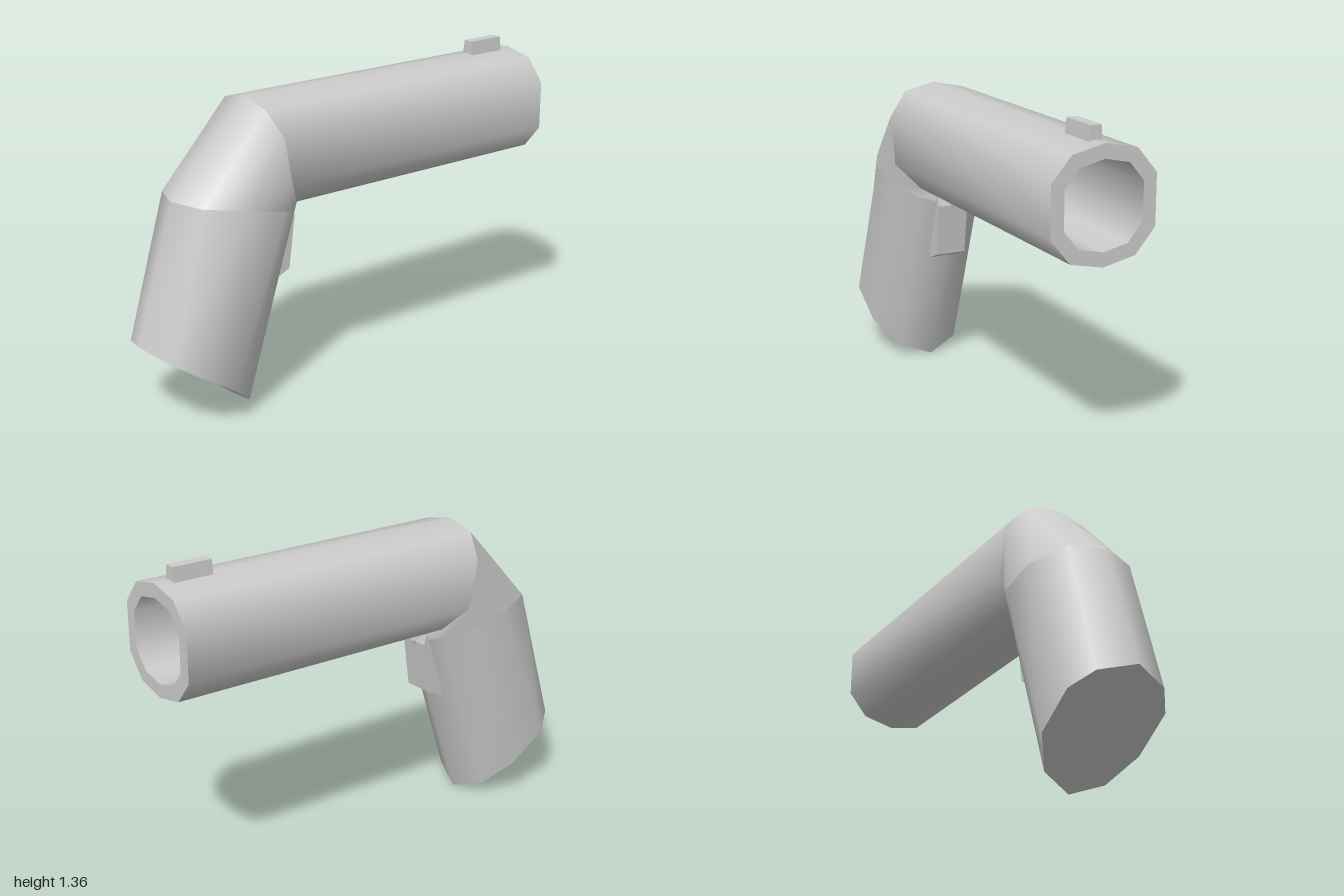
import * as THREE from 'three';

// Completes a ten-point ring from the six points of its +x half, top to bottom.
function ring(half) {
  const mirrored = half.slice(1, 5).reverse().map(([x, y, z]) => [-x, y, z]);
  return [...half, ...mirrored];
}

// Skins a smooth band between consecutive rings.
function loft(name, rings, material) {
  const n = rings[0].length, index = [];
  for (let r = 0; r < rings.length - 1; r++) {
    for (let i = 0; i < n; i++) {
      const a = r * n + i, b = r * n + (i + 1) % n;
      index.push(a, a + n, b, b, a + n, b + n);
    }
  }
  const geometry = new THREE.BufferGeometry();
  geometry.setAttribute('position', new THREE.Float32BufferAttribute(rings.flat(2), 3));
  geometry.setIndex(index);
  geometry.computeVertexNormals();
  const mesh = new THREE.Mesh(geometry, material);
  mesh.name = name;
  return mesh;
}

// Extrudes an outline and centres its thickness.
function slab(name, points, depth, material) {
  const shape = new THREE.Shape(points.map(([x, y]) => new THREE.Vector2(x, y)));
  const geometry = new THREE.ExtrudeGeometry(shape, { depth, bevelEnabled: false });
  geometry.translate(0, 0, -depth / 2);
  const mesh = new THREE.Mesh(geometry, material);
  mesh.name = name;
  return mesh;
}

export function createModel() {
  const model = new THREE.Group();
  model.name = 'pistol';
  const grey = new THREE.MeshStandardMaterial({ color: 0xcccccc });

  // Barrel section: ten sides with upright flanks
  const axisY = 1.07;
  const section = [[0, 0.235], [0.14, 0.205], [0.225, 0.104], [0.225, -0.104], [0.14, -0.205], [0, -0.235]];
  const barrelRing = (scale, z) => ring(section.map(([x, y]) => [x * scale, axisY + y * scale, z]));
  const bore = 0.75, boreEnd = 0.25;

  // Slanted rear end of the barrel, top of the grip and foot of the grip
  const rearZ = [0.465, 0.46, 0.43, 0.39, 0.31, 0.285];
  const rear = ring(section.map(([x, y], i) => [x, axisY + y, rearZ[i]]));
  const gripTop = ring([
    [0, 0.935, 0.825], [0.15, 0.93, 0.77], [0.225, 0.91, 0.6],
    [0.225, 0.87, 0.43], [0.14, 0.82, 0.325], [0, 0.78, 0.265],
  ]);
  const gripFoot = ring([
    [0, 0.36, 1], [0.155, 0.32, 0.945], [0.225, 0.265, 0.855],
    [0.225, 0.15, 0.68], [0.14, 0.05, 0.565], [0, 0, 0.52],
  ]);
  const footCentre = gripFoot.map(() => [0, 0.18, 0.76]);

  // Barrel with its hollow bore
  model.add(
    loft('boreEnd', [barrelRing(0, boreEnd), barrelRing(bore, boreEnd)], grey),
    loft('bore', [barrelRing(bore, boreEnd), barrelRing(bore, -1)], grey),
    loft('muzzle', [barrelRing(bore, -1), barrelRing(1, -1)], grey),
    loft('barrel', [barrelRing(1, -1), rear], grey),
  );

  // Elbow and grip
  model.add(
    loft('elbow', [rear, gripTop], grey),
    loft('grip', [gripTop, gripFoot], grey),
    loft('gripBase', [gripFoot, footCentre], grey),
  );

  // Trigger: side outline drawn in (-z, y), turned to lie across x
  const trigger = slab('trigger', [
    [-0.45, 0.6], [-0.37, 0.52], [-0.3, 0.55], [-0.27, 0.78], [-0.3, 0.87], [-0.45, 0.87],
  ], 0.14, grey);
  trigger.rotation.y = Math.PI / 2;
  model.add(trigger);

  // Front sight: tapered block on the muzzle end
  const sight = slab('frontSight', [[-0.03, 1.29], [0.03, 1.29], [0.023, 1.36], [-0.023, 1.36]], 0.175, grey);
  sight.position.z = -0.843;
  model.add(sight);

  return model;
}
